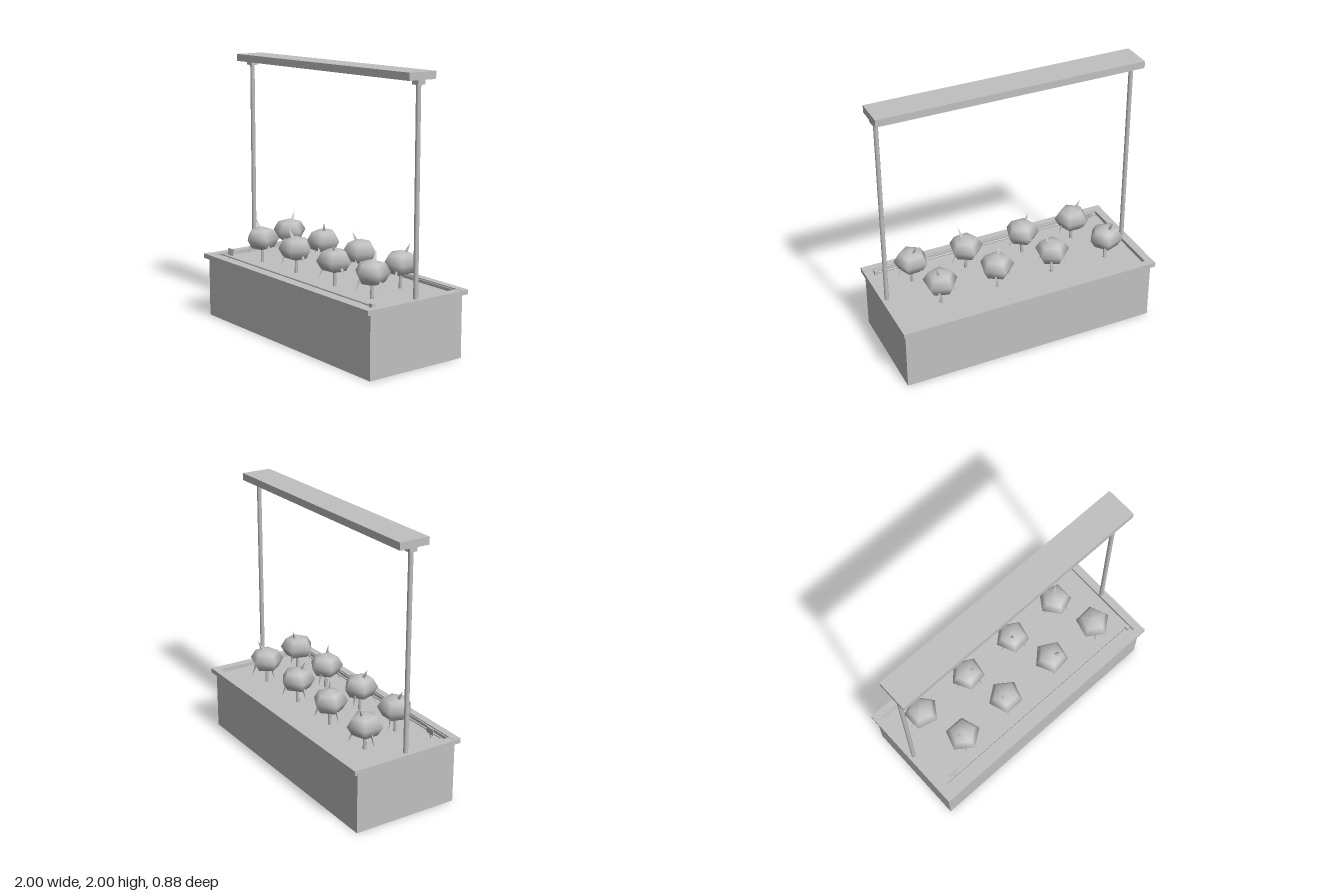
import * as THREE from 'three';

const grey = new THREE.MeshStandardMaterial({ color: 0xc0c0c0, side: THREE.DoubleSide });
grey.name = 'plain grey';

function add(parent, name, geometry, x = 0, y = 0, z = 0) {
  const mesh = new THREE.Mesh(geometry, grey);
  mesh.name = name;
  mesh.position.set(x, y, z);
  parent.add(mesh);
  return mesh;
}

// Box given by its extents on each axis
function block(parent, name, [x0, x1], [y0, y1], [z0, z1]) {
  return add(parent, name, new THREE.BoxGeometry(x1 - x0, y1 - y0, z1 - z0),
    (x0 + x1) / 2, (y0 + y1) / 2, (z0 + z1) / 2);
}

// Three-sided spike running from one point to another
function spike(parent, name, from, to, radius) {
  const a = new THREE.Vector3(...from), b = new THREE.Vector3(...to);
  const dir = b.clone().sub(a);
  const geo = new THREE.ConeGeometry(radius, dir.length(), 3).toNonIndexed();
  geo.computeVertexNormals();
  const mesh = add(parent, name, geo);
  mesh.position.copy(a).add(b).multiplyScalar(0.5);
  mesh.quaternion.setFromUnitVectors(new THREE.Vector3(0, 1, 0), dir.normalize());
}

// Five-sided squashed head on a stem, with top sprout and drooping leaves
function plant(parent, x, z, degrees, leanX, leanZ) {
  const g = new THREE.Group();
  g.name = 'plant';
  g.position.set(x, 0, z);
  parent.add(g);

  const head = new THREE.SphereGeometry(0.13, 5, 4, Math.PI);
  head.scale(1, 0.71, 1);
  add(g, 'head', head, 0, 0.64, 0).rotation.y = THREE.MathUtils.degToRad(degrees);
  add(g, 'stem', new THREE.CylinderGeometry(0.011, 0.014, 0.11, 5), 0, 0.51, 0);

  spike(g, 'sprout', [leanX * 0.4, 0.705, leanZ * 0.4], [leanX, 0.785, leanZ], 0.018);
  const start = z < 0 ? Math.PI : 0;
  for (let i = 0; i < 3; i++) {
    const a = start + i * Math.PI * 2 / 3, c = Math.cos(a), s = Math.sin(a);
    spike(g, 'droopingLeaf', [c * 0.08, 0.6, s * 0.08], [c * 0.112, 0.515, s * 0.112], 0.012);
  }
}

export function createModel() {
  const model = new THREE.Group();
  model.name = 'planter';

  // Trough walls, open underneath, with the soil sheet near the top
  const W = 0.98, D = 0.405, H = 0.455;
  for (const s of [1, -1]) {
    const turn = s > 0 ? 0 : Math.PI;
    add(model, 'longWall', new THREE.PlaneGeometry(2 * W, H), 0, H / 2, s * D).rotation.y = turn;
    add(model, 'endWall', new THREE.PlaneGeometry(2 * D, H), s * W, H / 2, 0).rotation.y = s * Math.PI / 2;
  }
  add(model, 'soil', new THREE.PlaneGeometry(2 * W, 2 * D), 0, 0.457, 0).rotation.x = -Math.PI / 2;

  for (const s of [1, -1]) {
    // Rim
    const z = s > 0 ? [0.385, 0.44] : [-0.44, -0.385];
    const lip = s > 0 ? [0.376, 0.385] : [-0.385, -0.376];
    block(model, 'longRim', [-1, 1], [0.453, 0.488], z);
    block(model, 'innerLip', [-0.94, 0.94], [0.453, 0.48], lip);
    block(model, 'endRim', s > 0 ? [0.94, 1] : [-1, -0.94], [0.453, 0.486], [-0.385, 0.385]);
    // Lamp posts with brackets
    add(model, 'post', new THREE.CylinderGeometry(0.017, 0.017, 1.44, 8), s * 0.96, 1.2, 0);
    block(model, 'bracket', s > 0 ? [0.93, 0.99] : [-0.99, -0.93], [1.915, 1.948], [-0.03, 0.03]);
  }

  // Overhead lamp bar
  block(model, 'lampBar', [-1, 1], [1.947, 2], [-0.115, 0.115]);

  // Watering pipe with end fitting
  add(model, 'pipe', new THREE.CylinderGeometry(0.007, 0.007, 1.83, 8), 0, 0.484, 0.335).rotation.z = Math.PI / 2;
  block(model, 'pipeFitting', [0.9, 0.93], [0.472, 0.502], [0.322, 0.35]);

  // Small plant marker
  const marker = new THREE.Group();
  marker.name = 'marker';
  marker.position.set(-0.83, 0.457, 0.312);
  marker.rotation.x = -0.15;
  block(marker, 'markerPlate', [-0.037, 0.037], [0.03, 0.08], [-0.003, 0.003]);
  block(marker, 'markerPin', [-0.005, 0.005], [0, 0.03], [-0.003, 0.003]);
  model.add(marker);

  // Plants: x, z, turn in degrees, sprout lean x and z
  [
    [-0.72, -0.17, 2, -0.02, -0.06], [-0.275, -0.165, 99, 0.05, 0.035],
    [0.17, -0.16, 95, -0.04, 0.045], [0.61, -0.165, 109, 0.05, -0.045],
    [-0.61, 0.165, -90, -0.07, 0.005], [-0.185, 0.155, -54, -0.06, 0.02],
    [0.275, 0.155, -47, 0.04, 0.05], [0.70, 0.165, -87, -0.02, -0.055],
  ].forEach((p) => plant(model, ...p));

  return model;
}
